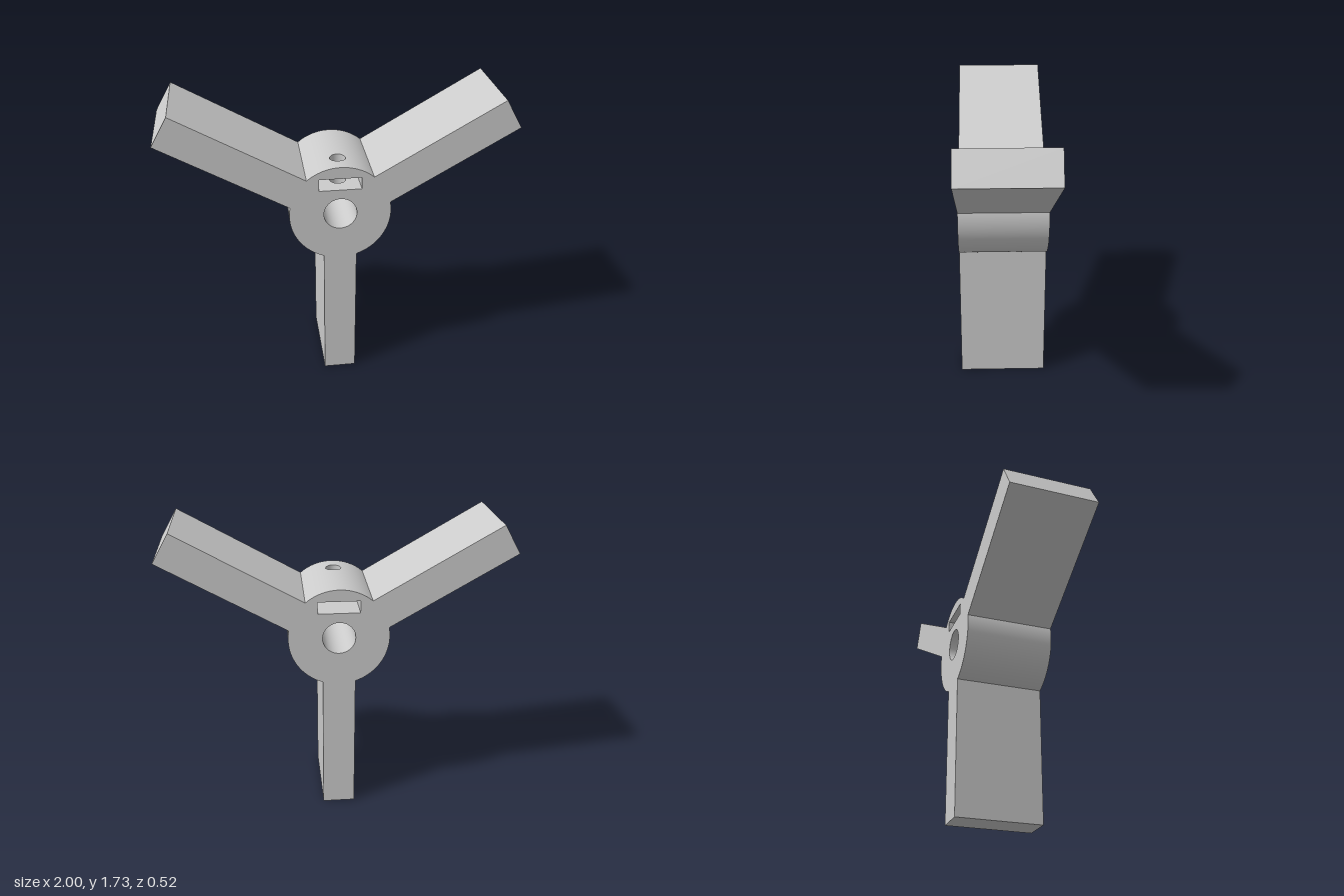
import * as THREE from 'three';
import { mergeGeometries } from 'three/addons/utils/BufferGeometryUtils.js';
import { ParametricGeometry } from 'three/addons/geometries/ParametricGeometry.js';

const C = 1.1;            // height of the hub axis
const R = 0.289;          // hub radius
const BORE = 0.094;       // bore radius
const D = 0.26;           // half depth
const L = 1.1, W = 0.0945; // arm length and half width
const SLOT = { x: 0.12, y0: 1.25, y1: 1.32 };
const SCREW = { r: 0.045, z: 0.13 };
const N = 16;             // segments per curved side

const rad = THREE.MathUtils.degToRad;
const lerp = THREE.MathUtils.lerp;
const root = Math.asin(W / R); // half angle an arm takes up on the hub

const polar = (r, a) => new THREE.Vector2(r * Math.cos(a), C + r * Math.sin(a));
const armPoint = (a, along, side) => new THREE.Vector2(
  along * Math.cos(a) - side * Math.sin(a),
  C + along * Math.sin(a) + side * Math.cos(a));

// Wall through the full depth along a path with the material on its left
function wall(path, n = 1) {
  return new ParametricGeometry((u, v, t) => {
    const p = path(u);
    t.set(p.x, p.y, lerp(-D, D, v));
  }, n, 1);
}
const straight = (a, b) => wall((u) => a.clone().lerp(b, u));
const arc = (r, a0, a1, n) => wall((u) => polar(r, lerp(a0, a1, u)), n);

// Surfaces that the screw hole pierces: half range, point at u, and u for a given x
const curved = (r, half) => ({
  half,
  at: (u) => [r * Math.sin(u), C + r * Math.cos(u)],
  from: (x) => Math.asin(x / r),
});
const flat = (y) => ({ half: SLOT.x, at: (u) => [u, y], from: (x) => x });

const crown = curved(R, Math.PI / 3 - root);
const ceiling = flat(SLOT.y1);
const floor = flat(SLOT.y0);
const boreTop = curved(BORE, Math.PI / 4);

// Point on the screw hole's rim; s runs once around from the -45 degree corner
function rim(s) {
  const a = s * Math.PI * 2 - Math.PI / 4;
  return [SCREW.r * Math.cos(a), SCREW.z + SCREW.r * Math.sin(a)];
}

// Patch from the hole's rim out to its rectangular border
const corners = [[1, -1], [1, 1], [-1, 1], [-1, -1]];
function piercedPatch(surface, facesUp) {
  return new ParametricGeometry((u, v, t) => {
    const s = facesUp ? u : 1 - u;
    const side = Math.min(3, Math.floor(s * 4));
    const f = s * 4 - side;
    const a = corners[side], b = corners[(side + 1) % 4];
    const [hx, hz] = rim(s);
    const w = lerp(surface.from(hx), surface.half * lerp(a[0], b[0], f), v);
    const [x, y] = surface.at(w);
    t.set(x, y, lerp(hz, D * lerp(a[1], b[1], f), v));
  }, 4 * N, 12);
}

// Wall of the screw hole between two pierced surfaces
function screwWall(lower, upper) {
  return new ParametricGeometry((u, v, t) => {
    const [x, z] = rim(u);
    const y0 = lower.at(lower.from(x))[1], y1 = upper.at(upper.from(x))[1];
    t.set(x, lerp(y0, y1, v), z);
  }, 4 * N, 1);
}

export function createModel() {
  const group = new THREE.Group();
  const material = new THREE.MeshStandardMaterial({ color: 0xcccccc });
  const add = (name, ...parts) => {
    const mesh = new THREE.Mesh(mergeGeometries(parts), material);
    mesh.name = name;
    group.add(mesh);
  };

  // Three arms with the hub's arcs between them; the first arc is the pierced crown
  const outline = [];
  const hubArcs = [piercedPatch(crown, true)];
  for (let k = 0; k < 3; k++) {
    const a = rad(30 + 120 * k);
    const p = [polar(R, a - root), armPoint(a, L, -W), armPoint(a, L, W), polar(R, a + root)];
    add('arm' + (k + 1), ...[0, 1, 2].map((i) => straight(p[i], p[i + 1])));

    const a0 = a + root, a1 = a + rad(120) - root;
    if (k > 0) hubArcs.push(arc(R, a0, a1, 2 * N));
    outline.push(...p);
    for (let i = 1; i < N * 2; i++) outline.push(polar(R, lerp(a0, a1, i / (N * 2))));
  }
  add('hub', ...hubArcs);

  // Front and back faces with the bore and slot openings
  const slot = [[-1, 0], [-1, 1], [1, 1], [1, 0]].map(([sx, top]) =>
    new THREE.Vector2(sx * SLOT.x, top ? SLOT.y1 : SLOT.y0));
  const bore = Array.from({ length: 4 * N }, (_, i) => polar(BORE, -i * Math.PI / (2 * N)));
  const face = new THREE.Shape(outline);
  face.holes.push(new THREE.Path(slot), new THREE.Path(bore));
  const front = new THREE.ShapeGeometry(face).translate(0, 0, D);
  add('endFaces', front, front.clone().rotateY(Math.PI));

  // Axle bore, nut slot and the screw hole running down through both
  add('bore', piercedPatch(boreTop, false), arc(BORE, rad(45), rad(-225), 3 * N));
  add('nutSlot', piercedPatch(ceiling, false), piercedPatch(floor, true),
    straight(slot[0], slot[1]), straight(slot[2], slot[3]));
  add('screwHole', screwWall(ceiling, crown), screwWall(boreTop, floor));

  return group;
}
